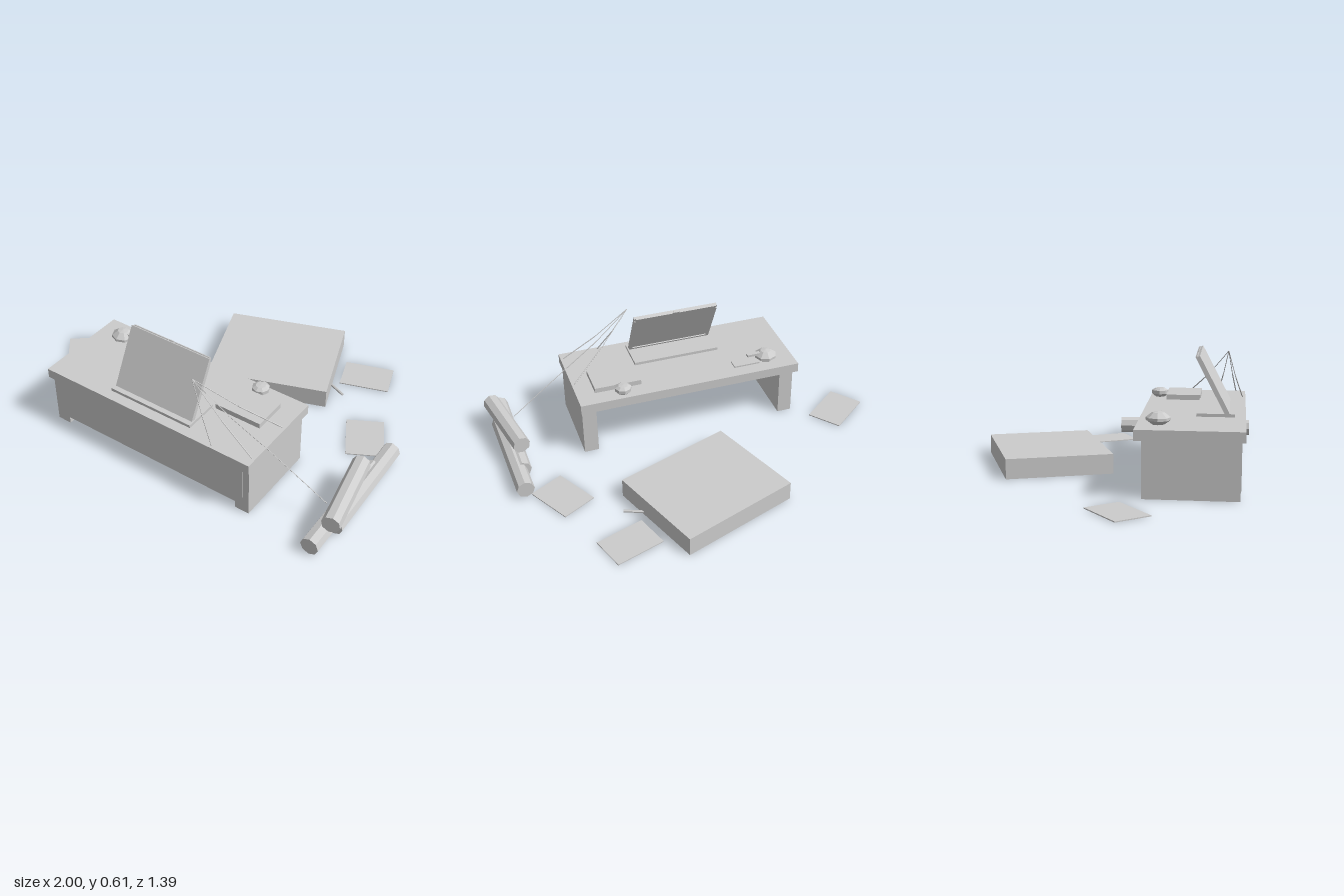
import * as THREE from 'three';

export function createModel() {
  const model = new THREE.Group();
  model.name = 'writingDesk';
  const grey = new THREE.MeshStandardMaterial({ color: 0xcccccc });
  grey.name = 'plain grey';

  const add = (name, geometry, parent = model) => {
    const mesh = new THREE.Mesh(geometry, grey);
    mesh.name = name;
    parent.add(mesh);
    return mesh;
  };
  // Box given by its low and high limits
  const box = (name, x0, x1, y0, y1, z0, z1, parent) => {
    const mesh = add(name, new THREE.BoxGeometry(x1 - x0, y1 - y0, z1 - z0), parent);
    mesh.position.set((x0 + x1) / 2, (y0 + y1) / 2, (z0 + z1) / 2);
    return mesh;
  };
  // Faceted rod between two points
  const rod = (name, a, b, radius, sides) => {
    const from = new THREE.Vector3(...a), to = new THREE.Vector3(...b);
    const dir = to.clone().sub(from);
    const geo = new THREE.CylinderGeometry(radius, radius, dir.length(), sides).toNonIndexed();
    geo.computeVertexNormals();
    const mesh = add(name, geo);
    mesh.position.copy(from).add(to).multiplyScalar(0.5);
    mesh.quaternion.setFromUnitVectors(new THREE.Vector3(0, 1, 0), dir.normalize());
    return mesh;
  };
  // Faceted round vessel from a radius/height profile
  const vessel = (name, profile, x, z) => {
    const geo = new THREE.LatheGeometry(profile.map(p => new THREE.Vector2(...p)), 8).toNonIndexed();
    geo.computeVertexNormals();
    add(name, geo).position.set(x, 0.32, z);
  };

  // Low desk
  box('deskTop', -0.625, 0.56, 0.27, 0.32, 0.165, 0.665);
  box('rightLeg', -0.61, -0.535, 0, 0.27, 0.2, 0.645);
  box('leftLeg', 0.475, 0.55, 0, 0.27, 0.2, 0.645);
  box('frontPanel', -0.575, 0.515, 0.04, 0.27, 0.62, 0.648);

  // Folding computer, its screen leaning over the keyboard
  box('computerBase', -0.265, 0.2, 0.32, 0.335, 0.43, 0.612);
  const screen = new THREE.Group();
  screen.name = 'screen';
  screen.position.set(-0.032, 0.333, 0.58);
  screen.rotation.x = -0.485;
  model.add(screen);
  box('screenPanel', -0.225, 0.225, 0, 0.308, -0.008, 0.008, screen);
  box('lowerBezel', -0.225, 0.225, 0, 0.02, -0.014, -0.008, screen);
  for (const s of [-1, 1]) {
    box('sideBezel', s * 0.217 - 0.008, s * 0.217 + 0.008, 0.02, 0.29, -0.014, -0.008, screen);
    box('topBezel', s * 0.118 - 0.1, s * 0.118 + 0.1, 0.29, 0.312, -0.014, -0.004, screen);
  }
  box('camera', -0.012, 0.012, 0.295, 0.314, -0.012, -0.002, screen);

  // Things on the desk
  box('book', 0.217, 0.463, 0.32, 0.346, 0.255, 0.432);
  box('tray', -0.43, -0.29, 0.32, 0.328, 0.235, 0.29);
  vessel('bowl', [[0, 0], [0.03, 0], [0.058, 0.02], [0.058, 0.033], [0.028, 0.056], [0, 0.06]], -0.475, 0.265);
  box('bowlHandle', -0.44, -0.37, 0.358, 0.37, 0.253, 0.275);
  vessel('cup', [[0, 0], [0.025, 0], [0.043, 0.016], [0.043, 0.034], [0.025, 0.045], [0, 0.047]], 0.325, 0.215);

  // Cords fanning out from one corner, each sagging a little
  const apex = [0.193, 0.582, 0.575];
  const cords = [[0.35, 0.32, 0.65], [0.545, 0.32, 0.615], [0.545, 0.32, 0.365], [0.55, 0.322, 0.52]];
  for (const end of cords) {
    const mid = apex.map((v, i) => (v + end[i]) / 2 - (i === 1 ? 0.014 : 0));
    rod('cord', apex, mid, 0.002, 5);
    rod('cord', mid, end, 0.003, 5);
  }
  rod('longCord', cords[3], [0.86, 0.11, 0.478], 0.002, 5);

  // Floor cushion, loose sheets and pen
  const slab = (name, x, z, w, h, d, turn) => {
    const mesh = box(name, x - w / 2, x + w / 2, 0, h, z - d / 2, z + d / 2);
    mesh.rotation.y = turn;
  };
  slab('floorCushion', 0.07, -0.34, 0.63, 0.1, 0.535, 0.346);
  slab('sheet', 0.515, -0.528, 0.256, 0.005, 0.182, 0.32);
  slab('sheet', 0.74, -0.104, 0.189, 0.005, 0.249, 0.5);
  slab('sheet', -0.843, 0.118, 0.259, 0.005, 0.183, 0.668);
  rod('pen', [0.395, 0.012, -0.357], [0.488, 0.012, -0.318], 0.007, 6);

  // Stacked rolls
  rod('lowerRoll', [0.91, 0.05, -0.055], [0.93, 0.05, 0.53], 0.045, 8);
  rod('lowerRoll', [0.893, 0.05, 0.1], [0.903, 0.05, 0.695], 0.045, 8);
  rod('upperRoll', [0.873, 0.138, 0.187], [0.953, 0.138, 0.605], 0.045, 8);

  return model;
}
